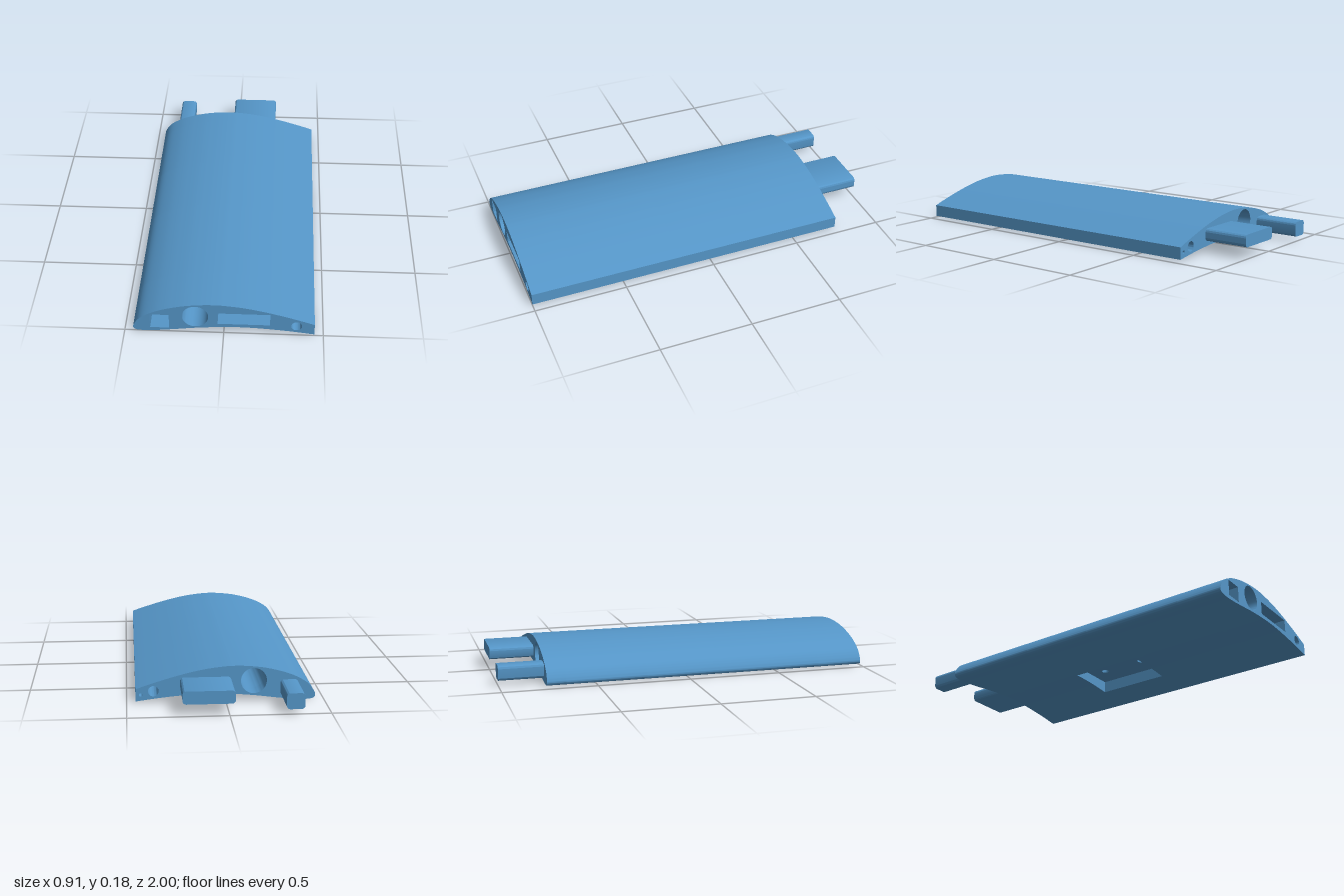
import * as THREE from 'three';
import { toCreasedNormals } from 'three/addons/utils/BufferGeometryUtils.js';

const V = (x, y) => new THREE.Vector2(x, y);

// Aerofoil outline, from the upper trailing edge around the nose to the lower one
const outline = new THREE.SplineCurve([
  [0.455, 0.072], [0.4, 0.091], [0.3, 0.122], [0.2, 0.149], [0.1, 0.17], [0, 0.182],
  [-0.05, 0.184], [-0.1, 0.1825], [-0.15, 0.178], [-0.2, 0.171], [-0.25, 0.16],
  [-0.3, 0.146], [-0.35, 0.127], [-0.4, 0.1], [-0.43, 0.075], [-0.45, 0.045],
  [-0.457, 0.022], [-0.444, 0.006], [-0.4, 0.001], [-0.33, 0.005], [-0.25, 0.014],
  [-0.15, 0.027], [-0.05, 0.036], [0.05, 0.041], [0.15, 0.039], [0.25, 0.032],
  [0.35, 0.022], [0.455, 0.008],
].map(([x, y]) => V(x, y))).getPoints(135);
const noseIndex = outline.reduce((best, p, i) => (p.x < outline[best].x ? i : best), 0);

const bay = { x0: 0, x1: 0.275, z0: -0.225, z1: 0.18, ceiling: 0.095, top: 0.12 };
const bodyBack = -0.76;
const socketBack = 0.75;

// Height of the underside at a given x
function undersideAt(x) {
  const i = outline.findIndex((p, k) => k > noseIndex && p.x >= x);
  const a = outline[i - 1], b = outline[i];
  return a.y + (b.y - a.y) * (x - a.x) / (b.x - a.x);
}

// Outline with a rectangular notch cut up into the underside
function notchedOutline() {
  const upper = outline.filter((p, i) => i <= noseIndex || p.x < bay.x0);
  const rear = outline.filter((p, i) => i > noseIndex && p.x > bay.x1);
  return [...upper,
    V(bay.x0, undersideAt(bay.x0)), V(bay.x0, bay.top),
    V(bay.x1, bay.top), V(bay.x1, undersideAt(bay.x1)), ...rear];
}

const circle = (x, y, r) => new THREE.Path().absarc(x, y, r, 0, Math.PI * 2, true);
const rectangle = (x0, y0, x1, y1) => new THREE.Path([V(x0, y0), V(x0, y1), V(x1, y1), V(x1, y0)]);

function roundedRect(x0, y0, x1, y1, r) {
  const s = new THREE.Shape();
  s.absarc(x1 - r, y0 + r, r, -Math.PI / 2, 0);
  s.absarc(x1 - r, y1 - r, r, 0, Math.PI / 2);
  s.absarc(x0 + r, y1 - r, r, Math.PI / 2, Math.PI);
  s.absarc(x0 + r, y0 + r, r, Math.PI, Math.PI * 1.5);
  s.closePath();
  return s;
}

export function createModel() {
  const group = new THREE.Group();
  const material = new THREE.MeshStandardMaterial({ color: 0x5596c8 });

  const add = (name, geometry) => {
    const mesh = new THREE.Mesh(toCreasedNormals(geometry, 0.5), material);
    mesh.name = name;
    group.add(mesh);
    return mesh;
  };
  const extrude = (shape, z0, z1) => new THREE.ExtrudeGeometry(shape, {
    depth: z1 - z0, bevelEnabled: false, curveSegments: 24,
  }).translate(0, 0, z0);

  // Wing slices: both spar tubes run through all of them
  const slice = (name, points, z0, z1, extraHoles = []) => {
    const shape = new THREE.Shape(points);
    shape.holes.push(circle(-0.143, 0.104, 0.066), circle(0.365, 0.06, 0.027), ...extraHoles);
    add(name, extrude(shape, z0, z1));
  };
  slice('socketSection', outline, socketBack, 1, [
    rectangle(-0.371, 0.023, -0.275, 0.109),
    rectangle(-0.031, 0.06, 0.232, 0.13),
  ]);
  slice('frontSection', outline, bay.z1, socketBack);
  slice('baySection', notchedOutline(), bay.z0, bay.z1);
  slice('rearSection', outline, bodyBack + 0.1, bay.z0);
  slice('pinHoleSection', outline, bodyBack, bodyBack + 0.1, [circle(0.428, 0.042, 0.009)]);

  // Ceiling of the underside bay, with two blind screw holes
  const plate = new THREE.Shape([
    V(bay.x0, bay.z0), V(bay.x1, bay.z0), V(bay.x1, bay.z1), V(bay.x0, bay.z1),
  ]);
  for (const z of [-0.13, 0.12]) plate.holes.push(circle(0.148, z, 0.02));
  add('bayCeiling', extrude(plate, 0, bay.top - bay.ceiling)
    .rotateX(Math.PI / 2).translate(0, bay.top, 0));

  // Joining tabs at the back, with rounded long edges
  add('noseTab', extrude(roundedRect(-0.369, 0.026, -0.278, 0.107, 0.018), -1, bodyBack));
  add('mainTab', extrude(roundedRect(-0.029, 0.062, 0.23, 0.128, 0.018), -1, bodyBack));

  return group;
}
